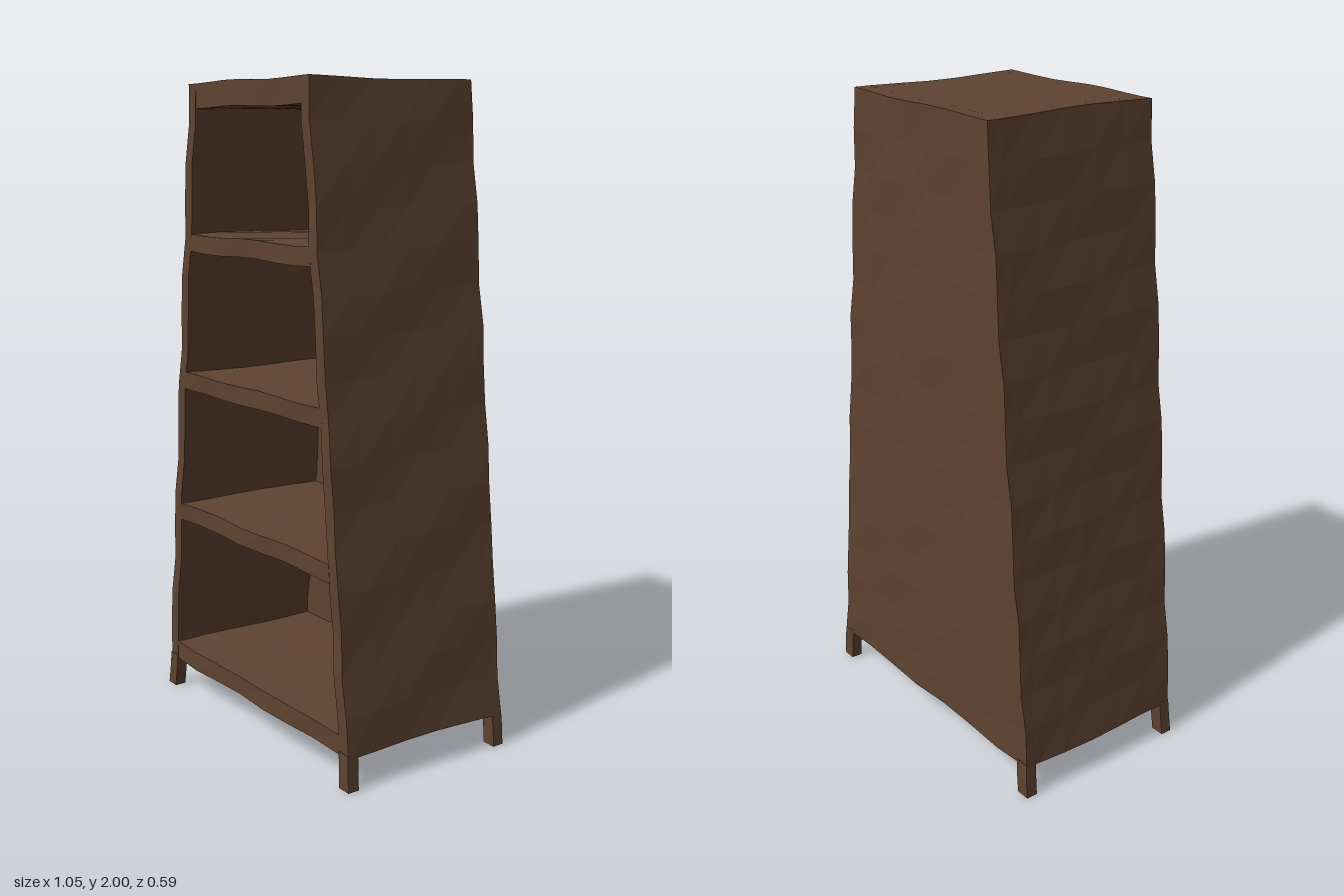
import * as THREE from 'three';

const FRONT = 0.29, BACK = -0.29, PANEL = -0.245; // depth planes
const BASE = 0.1, TOP = 2;

// half widths of the tapered case at height y
const outer = y => 0.522 - 0.101 * y;
const inner = y => 0.48 - 0.1 * y;

const wood = new THREE.MeshStandardMaterial({ color: 0x5f4331, flatShading: true, roughness: 0.9 });

// gentle hand-carved unevenness, the same at equal positions so edges stay closed
function wobble(p, amount) {
  const { x, y, z } = p;
  p.x += amount * Math.sin(17 * y + 9 * z + 5 * x);
  p.y += amount * Math.sin(15 * x + 11 * z + 3 * y) * (y < 0.02 ? 0 : 1);
  p.z += amount * Math.sin(13 * x - 19 * y + 4 * z);
}

// board between two x lines (functions of y), two heights and two depths
function board(name, xa, xb, y0, y1, z0, z1, segments, amount = 0.003) {
  const geometry = new THREE.BoxGeometry(1, 1, 1, ...segments);
  const pos = geometry.attributes.position;
  const p = new THREE.Vector3();
  for (let i = 0; i < pos.count; i++) {
    p.fromBufferAttribute(pos, i).addScalar(0.5);
    const y = THREE.MathUtils.lerp(y0, y1, p.y);
    p.set(THREE.MathUtils.lerp(xa(y), xb(y), p.x), y, THREE.MathUtils.lerp(z0, z1, p.z));
    wobble(p, amount);
    pos.setXYZ(i, p.x, p.y, p.z);
  }
  geometry.computeVertexNormals();
  const mesh = new THREE.Mesh(geometry, wood);
  mesh.name = name;
  return mesh;
}

export function createModel() {
  const group = new THREE.Group();
  group.name = 'taperedBookcase';

  // back panel
  group.add(board('backPanel', y => -outer(y), outer, BASE, TOP, BACK, PANEL, [7, 16, 1]));

  // leaning side walls
  group.add(board('leftSide', inner, outer, BASE, TOP, PANEL, FRONT, [1, 16, 5]));
  group.add(board('rightSide', y => -outer(y), y => -inner(y), BASE, TOP, PANEL, FRONT, [1, 16, 5]));

  // bottom, three shelves and top
  const boards = [
    ['bottomBoard', BASE, 0.16], ['shelf', 0.6, 0.655], ['shelf', 1.04, 1.095],
    ['shelf', 1.485, 1.54], ['topBoard', 1.925, TOP],
  ];
  for (const [name, y0, y1] of boards) {
    group.add(board(name, y => -inner(y) - 0.004, y => inner(y) + 0.004, y0, y1, PANEL, FRONT, [7, 1, 5]));
  }

  // four short splayed feet
  for (const [z0, z1] of [[0.255, 0.292], [-0.292, -0.255]]) {
    group.add(board('leftFoot', y => outer(y) - 0.045, outer, 0, BASE + 0.01, z0, z1, [1, 2, 1], 0.002));
    group.add(board('rightFoot', y => -outer(y), y => 0.045 - outer(y), 0, BASE + 0.01, z0, z1, [1, 2, 1], 0.002));
  }
  return group;
}
